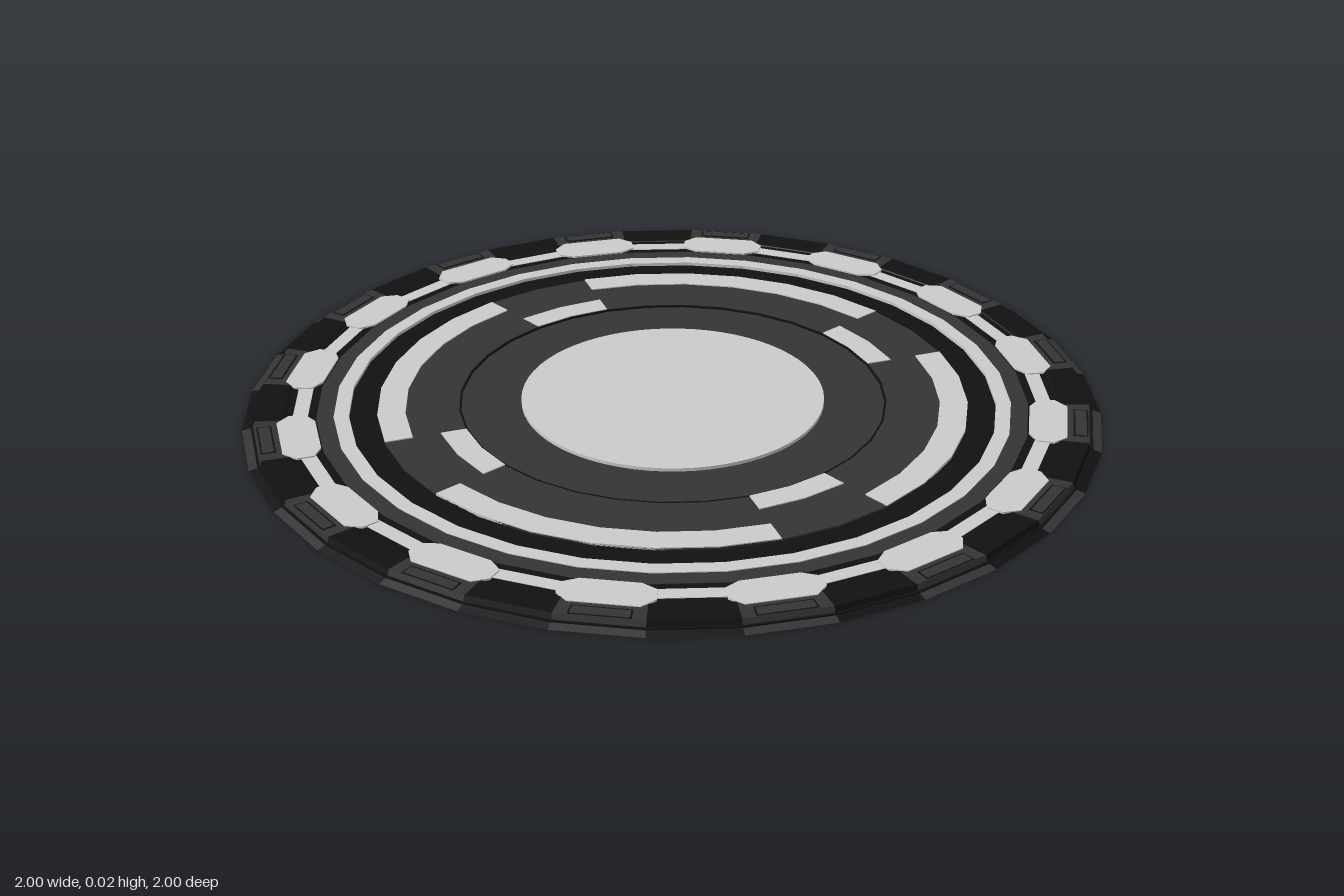
import * as THREE from 'three';

const STEP = Math.PI / 16; // all rings are 32-sided
const TAU = Math.PI * 2;

const paint = (color) => new THREE.MeshStandardMaterial({ color, flatShading: true });

// Point on the disc, angle measured from +x towards -z
const polar = (r, a) => new THREE.Vector2(r * Math.cos(a), r * Math.sin(a));

function arcPoints(r, a0, a1, n) {
  return Array.from({ length: n + 1 }, (_, i) => polar(r, a0 + ((a1 - a0) * i) / n));
}

// Flat plate between heights y0 and y1
function plate(shape, y0, y1) {
  const g = new THREE.ExtrudeGeometry(shape, { depth: y1 - y0, bevelEnabled: false });
  return g.rotateX(-Math.PI / 2).translate(0, y0, 0);
}

function ring(rIn, rOut, y0, y1, n = 32) {
  const shape = new THREE.Shape(arcPoints(rOut, 0, TAU, n).slice(0, n));
  if (rIn > 0) shape.holes.push(new THREE.Path(arcPoints(rIn, 0, TAU, n).slice(0, n)));
  return plate(shape, y0, y1);
}

function arc(rIn, rOut, y0, y1, a0, a1, n) {
  return plate(new THREE.Shape([...arcPoints(rOut, a0, a1, n), ...arcPoints(rIn, a1, a0, n)]), y0, y1);
}

export function createModel() {
  const model = new THREE.Group();
  const light = paint(0xcccccc);
  const dark = paint(0x343434);
  const black = paint(0x111111);

  const add = (name, geometry, material, parent = model) => {
    const mesh = new THREE.Mesh(geometry, material);
    mesh.name = name;
    parent.add(mesh);
    return mesh;
  };
  const group = (name) => {
    const g = new THREE.Group();
    g.name = name;
    model.add(g);
    return g;
  };

  // Base and concentric rings
  add('baseDisc', ring(0, 0.98, 0, 0.008), black);
  add('padTrack', ring(0.82, 0.95, 0.006, 0.017), black);
  add('linkRing', ring(0.85, 0.885, 0.015, 0.0185), light);
  add('outerDarkRing', ring(0.785, 0.83, 0.006, 0.018), dark);
  add('outerLightRing', ring(0.755, 0.79, 0.006, 0.02), light);
  add('recessedRing', ring(0.68, 0.76, 0.006, 0.012), black);
  add('middlePlate', ring(0.5, 0.69, 0.006, 0.016), dark);
  add('grooveLine', ring(0.496, 0.501, 0.006, 0.0165), black);
  add('innerPlate', ring(0, 0.498, 0.006, 0.012), dark);
  add('centreDisc', ring(0, 0.355, 0.01, 0.02, 64), light);

  // Four long and four short light arcs
  const longArcs = group('longArcs');
  const shortArcs = group('shortArcs');
  for (let i = 0; i < 4; i++) {
    const a = (i * Math.PI) / 2;
    add('longArc', arc(0.625, 0.69, 0.01, 0.0185, a - 3 * STEP, a + 3 * STEP, 6), light, longArcs);
    add('shortArc', arc(0.5, 0.56, 0.01, 0.0185, a + 3 * STEP, a + 5 * STEP, 2), light, shortArcs);
  }

  // Rim of alternating sloped blocks
  const rimProfile = [[0.9, 0], [1, 0], [0.975, 0.006], [0.97, 0.021], [0.905, 0.019], [0.9, 0.016]]
    .map(([x, y]) => new THREE.Vector2(x, y));
  const rim = group('rimBlocks');
  for (let i = 0; i < 32; i++) {
    const block = new THREE.LatheGeometry(rimProfile, 1, i * STEP + Math.PI / 2, STEP);
    add('rimBlock', block, i % 2 ? black : dark, rim);
  }

  // Octagonal light pads and outlined panels on every second block
  const pads = group('pads');
  const panels = group('rimPanels');
  const half = [[0.832, 0.078], [0.855, 0.118], [0.893, 0.116], [0.92, 0.082]];
  for (let i = 0; i < 16; i++) {
    const mid = (2 * i + 0.5) * STEP;
    const outline = [
      ...half.map(([r, a]) => polar(r, mid - a)),
      ...half.slice().reverse().map(([r, a]) => polar(r, mid + a)),
    ].reverse();
    add('pad', plate(new THREE.Shape(outline), 0.015, 0.0215), light, pads);
    add('panelOutline', arc(0.932, 0.966, 0.016, 0.0212, mid - 0.068, mid + 0.068, 1), black, panels);
    add('panel', arc(0.936, 0.962, 0.016, 0.022, mid - 0.064, mid + 0.064, 1), dark, panels);
  }

  return model;
}
